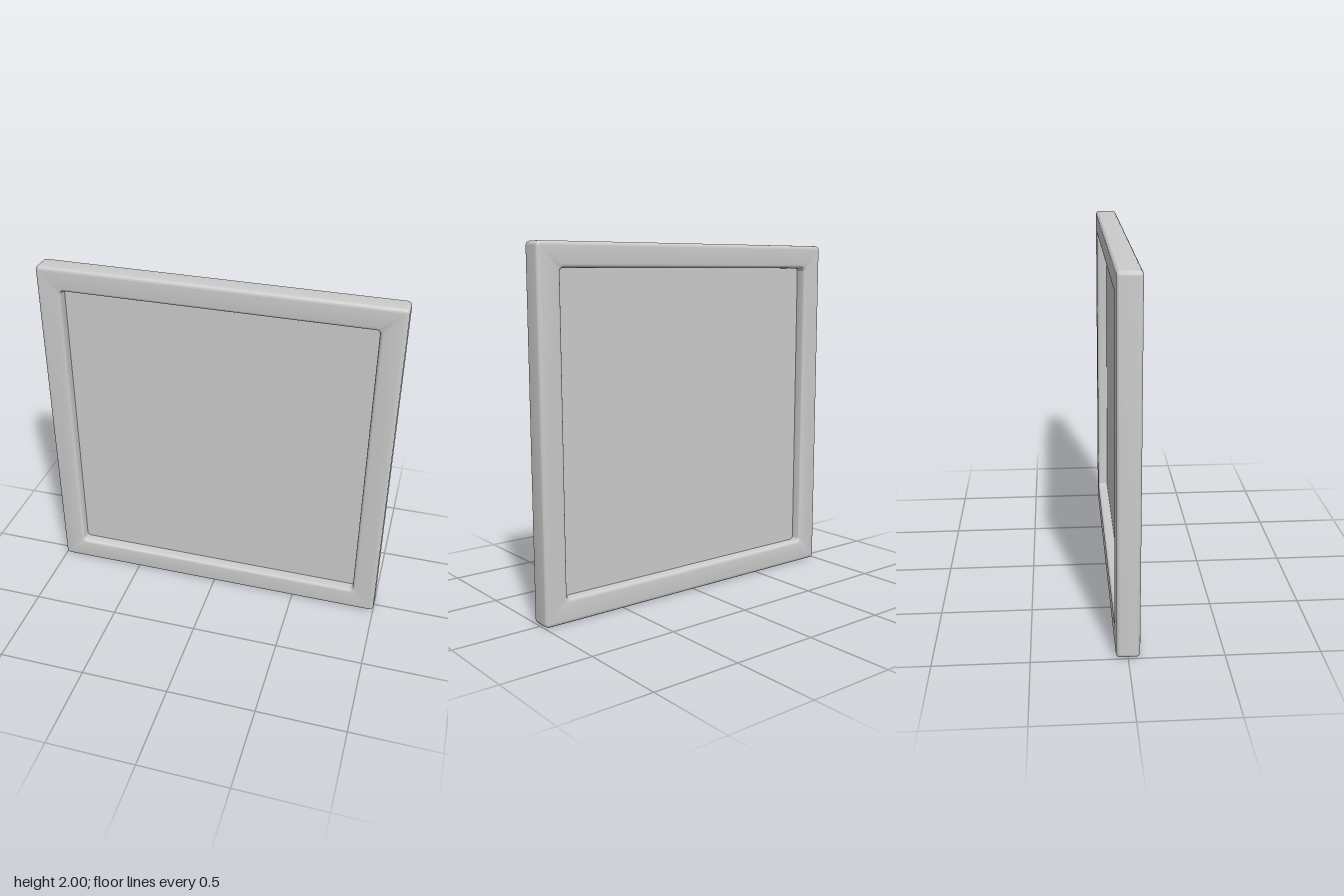
import * as THREE from 'three';
import { toCreasedNormals } from 'three/addons/utils/BufferGeometryUtils.js';

const DEPTH = 0.125, BEVEL = 0.02, OPENING = 0.865;

// Square outline with rounded corners, centred on the origin
function roundedSquare(path, half, radius) {
  const c = half - radius;
  path.moveTo(c, -half);
  path.absarc(c, -c, radius, -Math.PI / 2, 0);
  path.absarc(c, c, radius, 0, Math.PI / 2);
  path.absarc(-c, c, radius, Math.PI / 2, Math.PI);
  path.absarc(-c, -c, radius, Math.PI, Math.PI * 1.5);
  path.closePath();
  return path;
}

export function createModel() {
  const group = new THREE.Group();
  const material = new THREE.MeshStandardMaterial({ color: 0xcccccc });

  // Square frame with softened edges on both faces
  const outline = roundedSquare(new THREE.Shape(), 1, 0.024);
  outline.holes.push(roundedSquare(new THREE.Path(), OPENING, 0.02));
  const frameGeometry = new THREE.ExtrudeGeometry(outline, {
    depth: DEPTH - 2 * BEVEL,
    bevelThickness: BEVEL,
    bevelSize: BEVEL,
    bevelOffset: -BEVEL,
    bevelSegments: 5,
    curveSegments: 6,
  });
  frameGeometry.translate(0, 1, -DEPTH / 2 + BEVEL);
  const frame = new THREE.Mesh(toCreasedNormals(frameGeometry, 0.7), material);
  frame.name = 'frame';
  group.add(frame);

  // Thin panel recessed equally from front and back
  const size = 2 * OPENING + 0.02;
  const panel = new THREE.Mesh(new THREE.BoxGeometry(size, size, 0.006), material);
  panel.name = 'panel';
  panel.position.y = 1;
  group.add(panel);

  return group;
}
